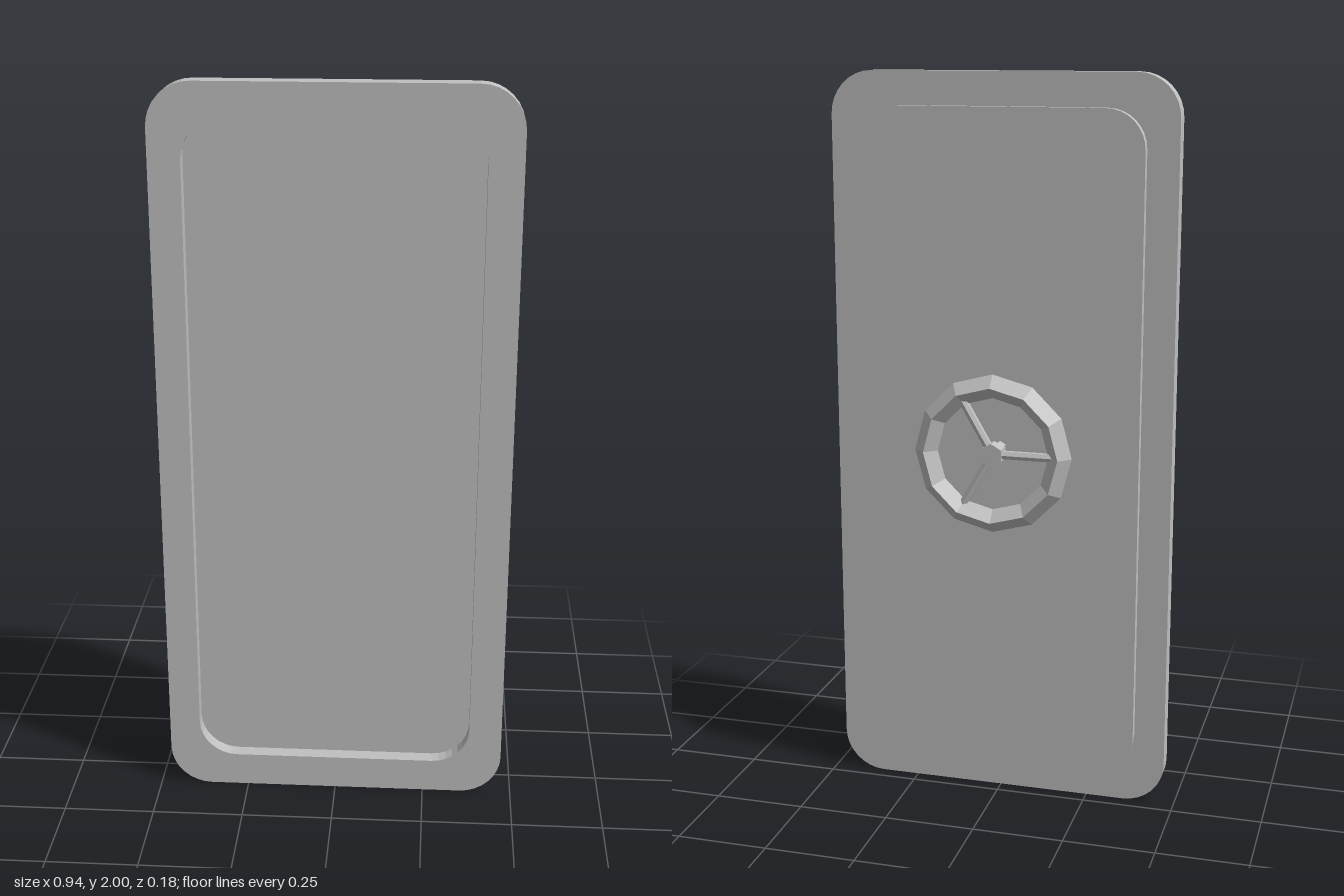
import * as THREE from 'three';

// Rounded rectangle outline centred on (cx, cy)
function roundedRect(Type, cx, cy, w, h, r) {
  const s = new Type();
  const x = w / 2 - r, y = h / 2 - r;
  s.absarc(cx + x, cy + y, r, 0, Math.PI / 2);
  s.absarc(cx - x, cy + y, r, Math.PI / 2, Math.PI);
  s.absarc(cx - x, cy - y, r, Math.PI, Math.PI * 1.5);
  s.absarc(cx + x, cy - y, r, Math.PI * 1.5, Math.PI * 2);
  return s;
}

export function createModel() {
  const group = new THREE.Group();
  const grey = new THREE.MeshStandardMaterial({ color: 0xc0c0c0, flatShading: true });
  grey.name = 'grey metal';

  const add = (name, geometry, parent = group) => {
    const mesh = new THREE.Mesh(geometry, grey);
    mesh.name = name;
    parent.add(mesh);
    return mesh;
  };
  const slab = (shape, depth) =>
    new THREE.ExtrudeGeometry(shape, { depth, bevelEnabled: false, curveSegments: 4 });

  // Door rim, open in the middle, and the panel pressed out through the back
  const inner = [-0.003, 1.003, 0.765, 1.815, 0.105];
  const outline = roundedRect(THREE.Shape, 0, 1, 0.94, 2, 0.115);
  outline.holes.push(roundedRect(THREE.Path, ...inner));
  add('doorFrame', slab(outline, 0.05)).position.z = 0.04;
  add('doorPanel', slab(roundedRect(THREE.Shape, ...inner), 0.035)).position.z = 0.015;

  // Hand wheel on the back
  const wheel = new THREE.Group();
  wheel.name = 'handWheel';
  wheel.position.set(-0.004, 1.005, -0.062);
  group.add(wheel);

  add('wheelRim', new THREE.TorusGeometry(0.185, 0.032, 4, 12), wheel);

  const shaft = add('wheelShaft', new THREE.CylinderGeometry(0.018, 0.018, 0.085, 6), wheel);
  shaft.rotation.x = Math.PI / 2;
  shaft.position.z = 0.0375;

  const hub = add('wheelHub', new THREE.CylinderGeometry(0.032, 0.032, 0.036, 6), wheel);
  hub.rotation.x = Math.PI / 2;

  // Three spokes, the first towards -x
  const spokeGeometry = new THREE.CylinderGeometry(0.012, 0.012, 0.17, 6);
  spokeGeometry.translate(0, 0.085, 0);
  for (let i = 0; i < 3; i++) {
    add('wheelSpoke', spokeGeometry, wheel).rotation.z = Math.PI / 2 + (i * Math.PI * 2) / 3;
  }
  return group;
}
